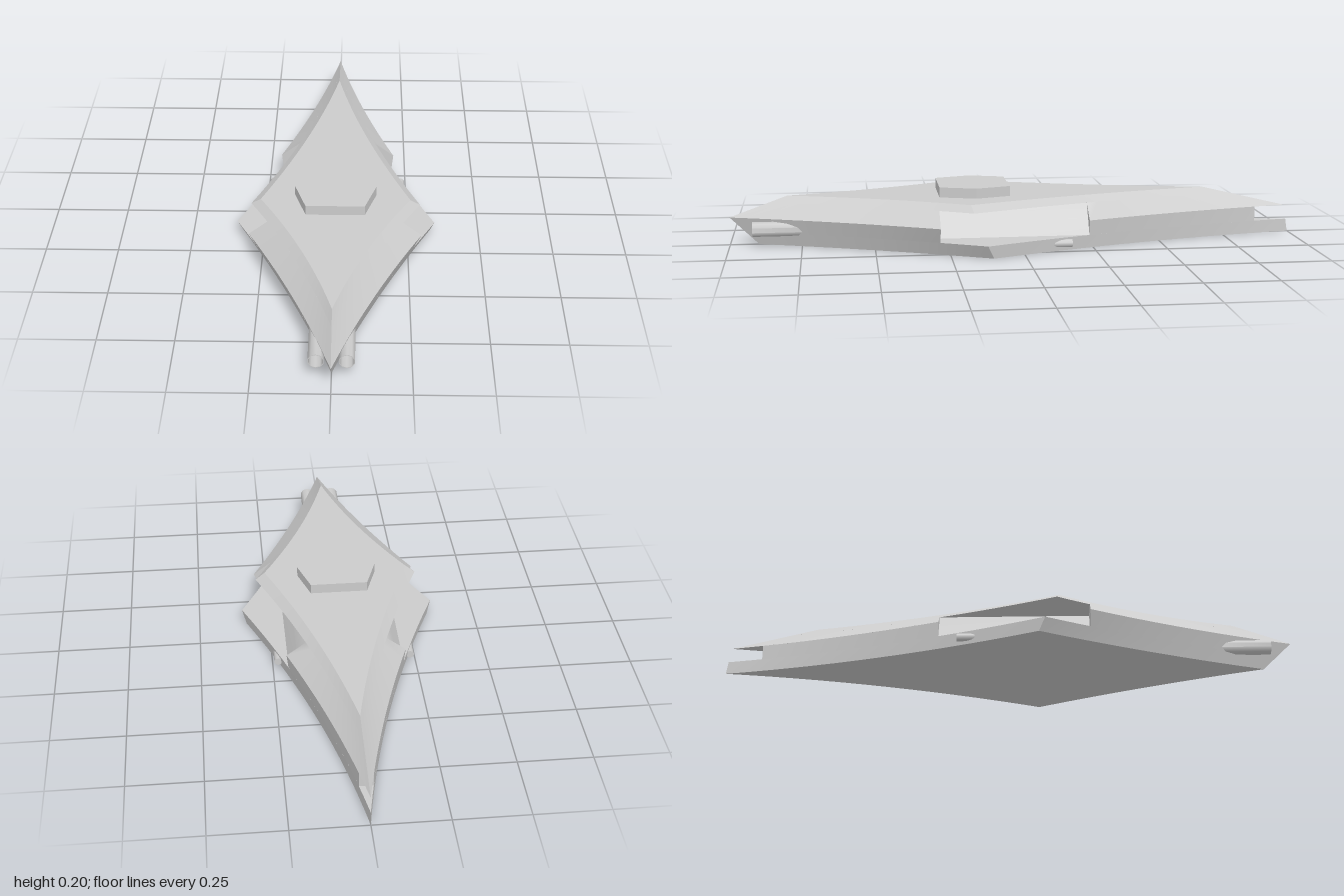
import * as THREE from 'three';
import { toCreasedNormals } from 'three/addons/utils/BufferGeometryUtils.js';

const material = new THREE.MeshStandardMaterial({ color: 0xcccccc, side: THREE.DoubleSide });

// Half outlines at three heights: front tip, side corner, back tip, with Bezier controls (x, z)
const LEVELS = [
  { y: 0, p: [[0, 0.9], [0.135, 0.5], [0.33, 0.11], [0.09, -0.44], [0, -1]] },
  { y: 0.097, p: [[0, 1], [0.14, 0.56], [0.362, 0.155], [0.11, -0.41], [0, -0.985]] },
  { y: 0.17, p: [[0, 0.8], [0.09, 0.47], [0.257, 0.18], [0.085, -0.24], [0, -0.68]] },
];
const NOTCH_FRONT = 0.285, NOTCH_BACK = -0.235, STEPS = 14;

// The two curves of one half at height y
function curvesAt(y) {
  const i = y < LEVELS[1].y ? 0 : 1, a = LEVELS[i], b = LEVELS[i + 1];
  const k = (y - a.y) / (b.y - a.y);
  const v = a.p.map((q, j) => new THREE.Vector2(
    THREE.MathUtils.lerp(q[0], b.p[j][0], k), THREE.MathUtils.lerp(q[1], b.p[j][1], k)));
  return [new THREE.QuadraticBezierCurve(v[0], v[1], v[2]), new THREE.QuadraticBezierCurve(v[2], v[3], v[4])];
}

// Parameter at which a curve (z falling) reaches z
function paramAt(curve, z) {
  let lo = 0, hi = 1;
  for (let i = 0; i < 30; i++) {
    const m = (lo + hi) / 2;
    if (curve.getPoint(m).y > z) lo = m; else hi = m;
  }
  return lo;
}

function sample(curve, from, to) {
  return Array.from({ length: STEPS + 1 }, (_, i) => curve.getPoint(from + (to - from) * i / STEPS));
}

// Closed outline at height y, optionally notched at the sides and cut off at the back
function outline(y, notched, backCut) {
  const [front, back] = curvesAt(y);
  const end = backCut === undefined ? 1 : paramAt(back, backCut);
  let half;
  if (notched) {
    const wall = 0.2 - (y - 0.045) * 0.59;
    const a = sample(front, 0, paramAt(front, NOTCH_FRONT));
    const b = sample(back, paramAt(back, NOTCH_BACK), end);
    half = [...a, new THREE.Vector2(wall, NOTCH_FRONT),
      new THREE.Vector2(Math.min(wall, b[0].x - 0.001), NOTCH_BACK), ...b];
  } else {
    half = [...sample(front, 0, 1), ...sample(back, 0, end).slice(1)];
  }
  const mirrored = half.slice(1, backCut === undefined ? -1 : undefined).reverse()
    .map(p => new THREE.Vector2(-p.x, p.y));
  return [...half, ...mirrored];
}

// Solid layer between two heights
function hullLayer(name, y0, y1, notched, backCut) {
  const low = outline(y0, notched, backCut), high = outline(y1, notched, backCut), n = low.length;
  const pos = [], index = [];
  low.forEach(p => pos.push(p.x, y0, p.y));
  high.forEach(p => pos.push(p.x, y1, p.y));
  for (let i = 0; i < n; i++) {
    const j = (i + 1) % n;
    index.push(i, j, n + j, i, n + j, n + i);
  }
  const cap = (pts, offset, up) => {
    const flat = pts.map(p => new THREE.Vector2(p.x, -p.y));
    for (const [a, b, c] of THREE.ShapeUtils.triangulateShape(flat, [])) {
      if (up) index.push(offset + a, offset + b, offset + c);
      else index.push(offset + a, offset + c, offset + b);
    }
  };
  cap(low, 0, false);
  cap(high, n, true);
  const geo = new THREE.BufferGeometry();
  geo.setAttribute('position', new THREE.Float32BufferAttribute(pos, 3));
  geo.setIndex(index);
  return named(name, toCreasedNormals(geo, 0.5));
}

function named(name, geometry) {
  const mesh = new THREE.Mesh(geometry, material);
  mesh.name = name;
  return mesh;
}

export function createModel() {
  const model = new THREE.Group();
  model.name = 'ship';

  // Hull: full keel, notched waist, overhanging deck
  model.add(
    hullLayer('keel', 0, 0.045, false),
    hullLayer('lowerWaist', 0.045, 0.097, true, -0.87),
    hullLayer('upperWaist', 0.097, 0.147, true),
    hullLayer('deck', 0.147, 0.17, false),
  );

  // Raised hexagonal plate on the deck
  const hex = new THREE.Shape([[0.14, -0.15], [0.1, -0.03], [-0.1, -0.03], [-0.14, -0.15], [-0.1, -0.275], [0.1, -0.275]]
    .map(([x, y]) => new THREE.Vector2(x, y)));
  const plate = named('deckPlate', new THREE.ExtrudeGeometry(hex, { depth: 0.035, bevelEnabled: false }));
  plate.rotation.x = -Math.PI / 2;
  plate.position.y = 0.17;
  model.add(plate);

  for (const side of [1, -1]) {
    const label = side > 0 ? 'left' : 'right';

    // Open nose tube with a thin rim
    const profile = [[0.026, 0.6], [0.026, 0.92], [0.0235, 0.92], [0.0235, 0.6]]
      .map(([r, h]) => new THREE.Vector2(r, h));
    const tube = named(label + 'NoseTube', toCreasedNormals(new THREE.LatheGeometry(profile, 10), 0.8));
    tube.rotation.x = Math.PI / 2;
    tube.position.set(side * 0.048, 0.062, 0);
    model.add(tube);

    // Small gun pointing backwards from the keel
    const gun = named(label + 'RearGun', new THREE.CylinderGeometry(0.014, 0.014, 0.13, 10));
    gun.rotation.x = Math.PI / 2;
    gun.position.set(side * 0.231, 0.025, -0.105);
    model.add(gun);
  }
  return model;
}
